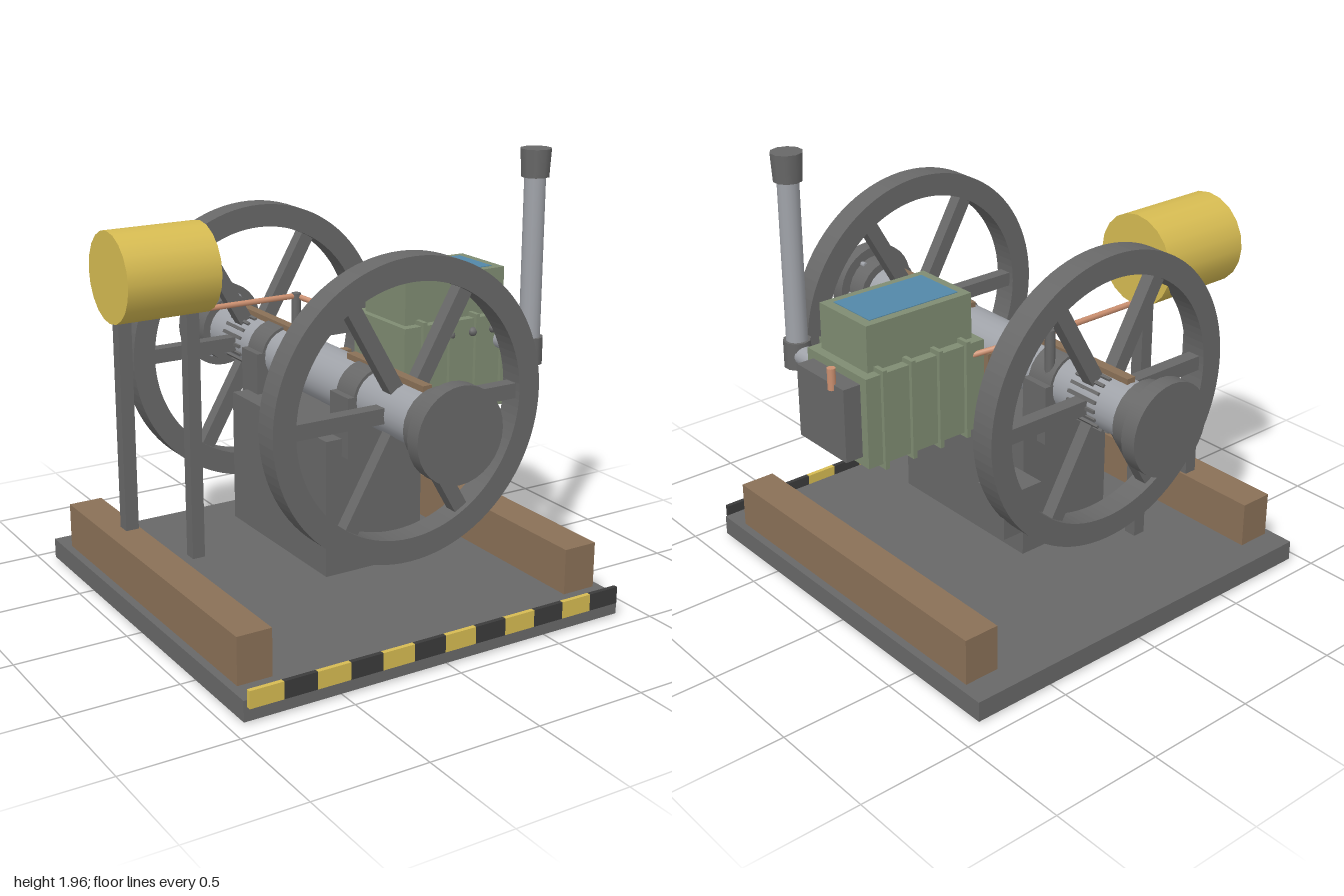
import * as THREE from 'three';

const mat = (name, color) => Object.assign(new THREE.MeshStandardMaterial({ color }), { name });
const iron = mat('cast iron', 0x686868);
const steel = mat('bright steel', 0xa0a3a9);
const wood = mat('timber brown', 0x8a7057);
const green = mat('engine green', 0x7f8c72);
const yellow = mat('tank yellow', 0xd6bb52);
const black = mat('stripe black', 0x3b3b3b);
const copper = mat('copper', 0xcc9070);
const water = mat('water blue', 0x5388a8);

const CX = -0.03, CY = 1.005; // crankshaft axis

export function createModel() {
  const root = new THREE.Group();
  root.name = 'stationaryEngine';

  const add = (name, geo, material, x = 0, y = 0, z = 0, parent = root) => {
    const m = new THREE.Mesh(geo, material);
    m.name = name;
    m.position.set(x, y, z);
    parent.add(m);
    return m;
  };
  // box given by its limits
  const box = (name, material, x0, x1, y0, y1, z0, z1) =>
    add(name, new THREE.BoxGeometry(x1 - x0, y1 - y0, z1 - z0), material,
      (x0 + x1) / 2, (y0 + y1) / 2, (z0 + z1) / 2);
  // cylinder between two points
  const rod = (name, material, a, b, r, sides = 16, r2 = r) => {
    const p = new THREE.Vector3(...a), q = new THREE.Vector3(...b);
    const d = q.clone().sub(p);
    const m = add(name, new THREE.CylinderGeometry(r2, r, d.length(), sides), material);
    m.position.copy(p).add(q).multiplyScalar(0.5);
    m.quaternion.setFromUnitVectors(new THREE.Vector3(0, 1, 0), d.normalize());
    return m;
  };

  // base plate, hazard strip, timbers and pedestal
  box('basePlate', iron, -0.94, 0.88, 0.01, 0.1, -0.92, 0.915);
  for (let i = 0; i < 12; i++) {
    const x = -0.925 + i * 0.149;
    box('hazardBlock', i % 2 ? black : yellow, x, x + 0.149, 0.07, 0.145, 0.915, 0.935);
  }
  box('timberRight', wood, -0.905, -0.75, 0.1, 0.305, -0.8, 0.8);
  box('timberLeft', wood, 0.685, 0.845, 0.1, 0.305, -0.8, 0.8);
  box('pedestal', iron, -0.265, 0.205, 0.25, 0.845, -0.4, 0.4);

  // crankshaft with end hubs, keys, bearings and flywheels
  rod('crankshaft', steel, [CX, CY, -0.93], [CX, CY, 0.93], 0.12, 24);

  const rim = new THREE.Shape().absarc(0, 0, 0.637, 0, Math.PI * 2);
  rim.holes.push(new THREE.Path().absarc(0, 0, 0.535, 0, Math.PI * 2, true));
  const rimGeo = new THREE.ExtrudeGeometry(rim, { depth: 0.11, bevelEnabled: false, curveSegments: 48 });
  rimGeo.translate(0, 0, -0.055);
  const spokeGeo = new THREE.BoxGeometry(0.45, 0.065, 0.06).translate(0.325, 0, 0);

  for (const s of [1, -1]) {
    rod('hubDisc', iron, [CX, CY, s * 0.93], [CX, CY, s], 0.2, 32);
    rod('hubCollar', iron, [CX, CY, s * 0.835], [CX, CY, s * 0.93], 0.155, 24);
    for (let i = 0; i < 6; i++) {
      const a = i * Math.PI / 3;
      const x = CX + 0.152 * Math.cos(a), y = CY + 0.152 * Math.sin(a);
      rod('hubBolt', steel, [x, y, s * 0.905], [x, y, s * 0.935], 0.012, 8);
    }
    const z0 = s > 0 ? 0.22 : -0.775;
    box('shaftKey', wood, -0.053, -0.01, 1.1, 1.147, z0, z0 + 0.555);

    const zb = s * 0.378;
    box('bearingBlock', iron, -0.19, 0.13, 0.77, 1.03, zb - 0.07, zb + 0.07);
    rod('bearingCap', iron, [CX, CY, zb - 0.067], [CX, CY, zb + 0.067], 0.133, 24);

    const wheel = new THREE.Group();
    wheel.name = 'flywheel';
    wheel.position.set(CX, CY, s * 0.618);
    add('flywheelRim', rimGeo, iron, 0, 0, 0, wheel);
    for (let i = 0; i < 6; i++) {
      add('flywheelSpoke', spokeGeo, iron, 0, 0, 0, wheel).rotation.z = i * Math.PI / 3;
    }
    root.add(wheel);
  }

  // toothed ring under the rear flywheel
  for (let i = 0; i < 20; i++) {
    const a = i * Math.PI / 10;
    add('gearTooth', new THREE.BoxGeometry(0.025, 0.014, 0.16), iron,
      CX + 0.117 * Math.cos(a), CY + 0.117 * Math.sin(a), -0.618).rotation.z = a;
  }

  // crank webs and connecting rod
  for (const z of [-0.082, 0.078]) {
    box('crankWeb', wood, -0.02, 0.147, 0.945, 1.065, z - 0.022, z + 0.022);
  }
  rod('rodBigEnd', iron, [0.11, CY, -0.042], [0.11, CY, 0.038], 0.04, 12);
  rod('connectingRod', steel, [0.11, CY, 0], [0.3, CY, 0], 0.022, 12);

  // engine block with fins, bolts, water hopper and head
  box('engineBlock', green, 0.25, 0.845, 0.805, 1.2, -0.2, 0.2);
  for (let i = 0; i < 4; i++) {
    const x = 0.345 + i * 0.14;
    box('coolingFin', green, x - 0.01, x + 0.01, 0.785, 1.22, -0.217, 0.217);
  }
  for (const x of [0.37, 0.49, 0.61, 0.72]) {
    for (const y of [0.865, 1.14]) {
      add('blockBolt', new THREE.SphereGeometry(0.021, 10, 8), iron, x, y, 0.2);
    }
  }
  box('waterHopper', green, 0.28, 0.805, 1.2, 1.4, -0.157, 0.157);
  box('hopperWater', water, 0.32, 0.762, 1.397, 1.403, -0.12, 0.12);
  box('cylinderHead', iron, 0.845, 0.925, 0.845, 1.165, -0.16, 0.16);
  rod('ignitionPlug', copper, [0.923, 1.14, -0.08], [0.923, 1.233, -0.08], 0.018, 10);

  // exhaust stack
  rod('exhaustOutlet', steel, [0.765, 1.085, 0.18], [0.765, 1.085, 0.4], 0.043, 16);
  rod('exhaustElbow', iron, [0.765, 1.025, 0.4], [0.765, 1.145, 0.4], 0.06, 10);
  rod('exhaustPipe', steel, [0.765, 1.1, 0.4], [0.765, 1.9, 0.4], 0.046, 16);
  rod('exhaustCap', iron, [0.765, 1.84, 0.4], [0.765, 1.96, 0.4], 0.061, 10, 0.068);

  // fuel tank, legs and fuel line
  rod('fuelTank', yellow, [-0.845, 1.44, -0.4], [-0.41, 1.44, -0.4], 0.2, 20);
  for (const x of [-0.79, -0.469]) {
    box('tankLeg', iron, x - 0.03, x + 0.03, 0, 1.32, -0.43, -0.37);
  }
  rod('fuelLine', copper, [-0.5, 1.245, -0.4], [0.065, 1.245, -0.4], 0.013, 8);
  rod('fuelLine', copper, [0.065, 1.245, -0.4], [0.3, 1.14, -0.19], 0.013, 8);
  rod('fuelFitting', iron, [0.065, 1.02, -0.4], [0.065, 1.258, -0.4], 0.022, 8);

  // magneto box beside the rear flywheel
  box('magnetoBox', iron, 0.265, 0.465, 0.505, 0.702, -0.58, -0.42);

  return root;
}
